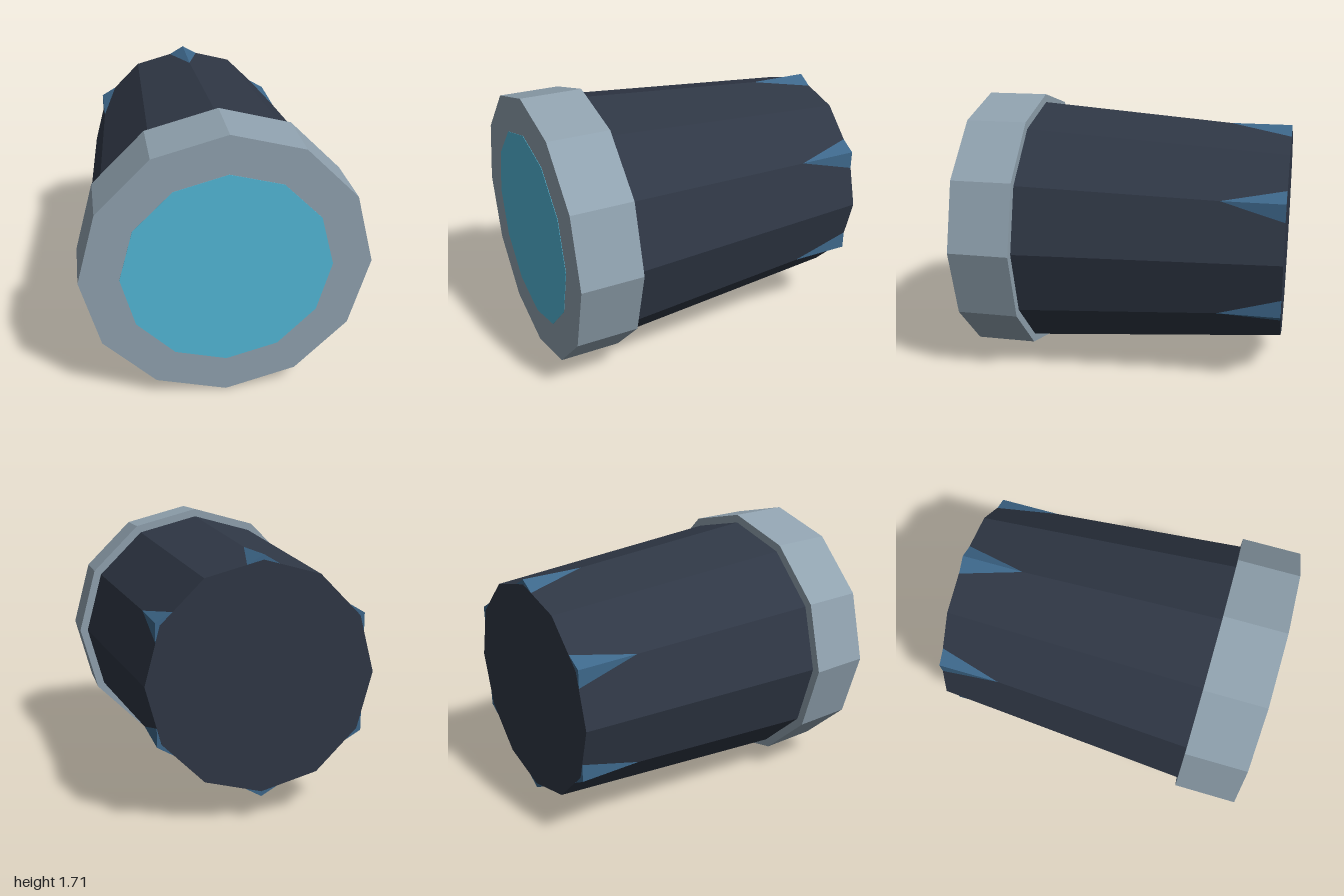
import * as THREE from 'three';

const material = (name, color) => {
  const m = new THREE.MeshStandardMaterial({ color, flatShading: true });
  m.name = name;
  return m;
};

export function createModel() {
  const group = new THREE.Group();
  group.name = 'lamp';
  const centreY = 0.853;

  const darkCasing = material('darkCasing', 0x2f3745);
  const steelBlue = material('steelBlue', 0x3d678a);
  const greyMetal = material('greyMetal', 0x90a2af);
  const cyanGlass = material('cyanGlass', 0x53b8d8);

  // Faceted prism lying along z, with a corner pointing straight up
  function prism(name, frontRadius, backRadius, front, back, sides, mat) {
    const geometry = new THREE.CylinderGeometry(frontRadius, backRadius, front - back, sides);
    geometry.rotateX(Math.PI / 2);
    const mesh = new THREE.Mesh(geometry, mat);
    mesh.name = name;
    mesh.position.set(0, centreY, (front + back) / 2);
    group.add(mesh);
  }

  // Tapered casing
  prism('body', 0.801, 0.675, 0.62, -1, 12, darkCasing);
  // Straight hexagonal core whose corners break through the casing as fins
  prism('fins', 0.705, 0.705, 0.3, -0.999, 6, steelBlue);
  // Front collar
  prism('rim', 0.853, 0.853, 0.998, 0.615, 12, greyMetal);
  // Thin lens plate on the collar
  prism('lens', 0.62, 0.62, 1, 0.993, 12, cyanGlass);

  return group;
}
